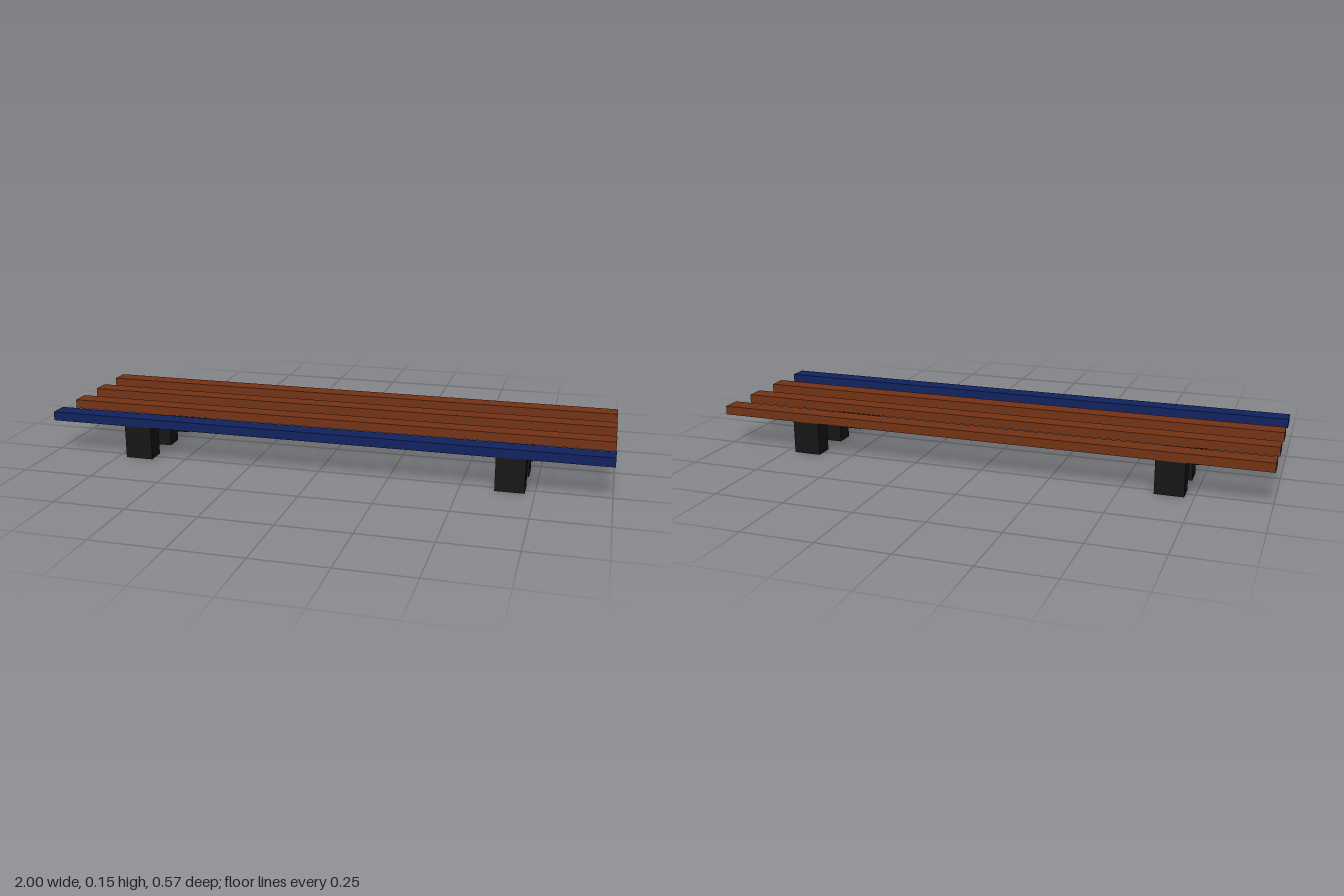
import * as THREE from 'three';

const material = (color) => new THREE.MeshStandardMaterial({ color, side: THREE.DoubleSide });

// Box standing on y = 0 with its underside left open
function openBox(w, h, d) {
  const g = new THREE.BoxGeometry(w, h, d).translate(0, h / 2, 0);
  const index = Array.from(g.index.array);
  index.splice(18, 6); // drop the downward face
  g.setIndex(index);
  g.clearGroups();
  return g;
}

export function createModel() {
  const group = new THREE.Group();
  const brown = material(0x733214);
  const blue = material(0x10215e);
  const black = material(0x151515);

  const width = 0.067, pitch = 0.167, legHeight = 0.118, slatHeight = 0.032;
  const slatGeometry = openBox(2, slatHeight, width);
  const legGeometry = openBox(0.1, legHeight, width);

  // Four parallel slats, the front one blue, each on two short legs
  for (let i = 0; i < 4; i++) {
    const z = (1.5 - i) * pitch;
    const slat = new THREE.Mesh(slatGeometry, i === 0 ? blue : brown);
    slat.name = i === 0 ? 'frontSlat' : 'slat' + (i + 1);
    slat.position.set(0, legHeight, z);
    group.add(slat);

    for (const side of [1, -1]) {
      const leg = new THREE.Mesh(legGeometry, black);
      leg.name = (side > 0 ? 'leftLeg' : 'rightLeg') + (i + 1);
      leg.position.set(side * 0.667, 0, z);
      group.add(leg);
    }
  }
  return group;
}
